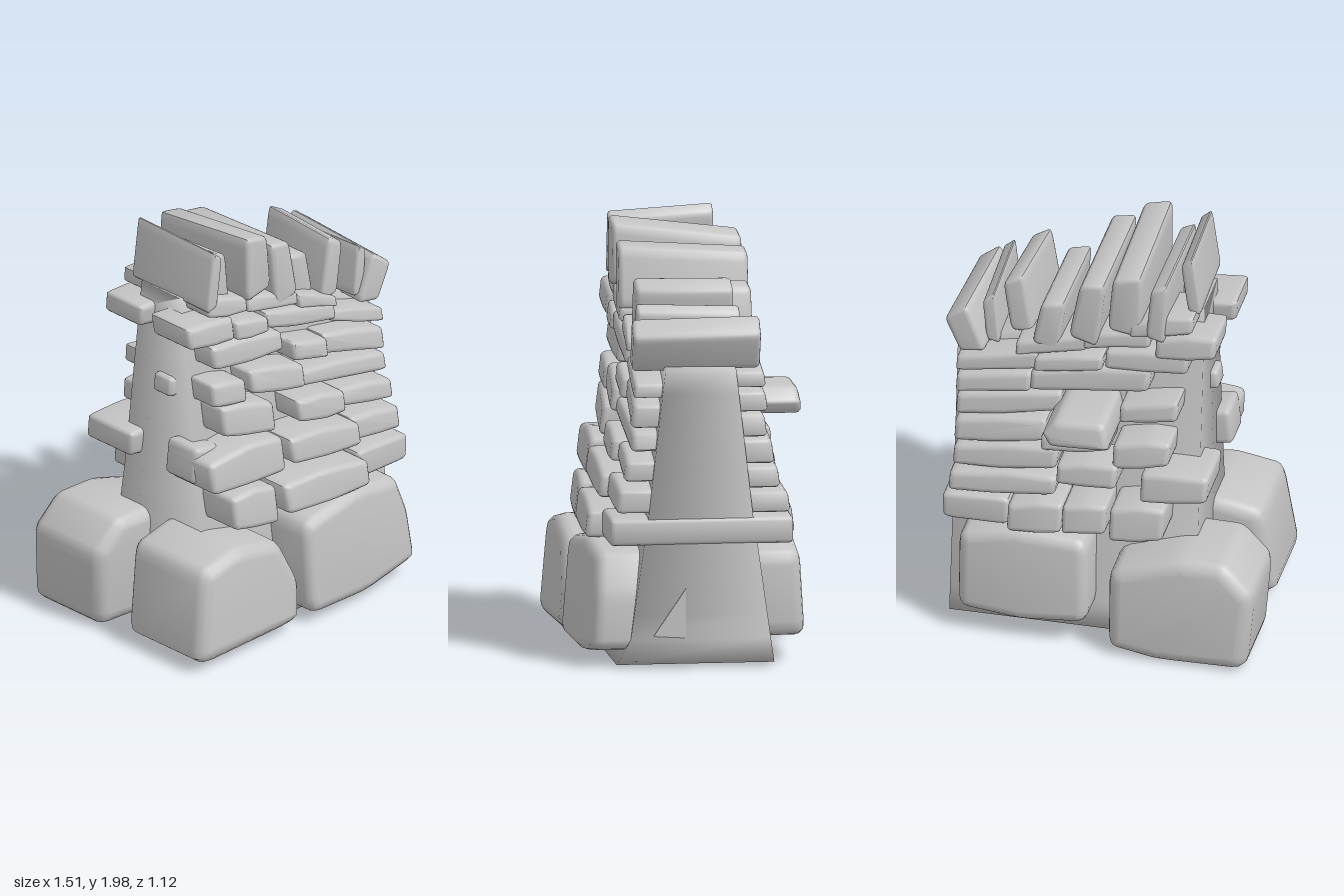
import * as THREE from 'three';
import { mergeVertices, toCreasedNormals } from 'three/addons/utils/BufferGeometryUtils.js';

// Half thickness of the mortar core at height y: flared foot, narrow top
const wall = (y) => (y < 0.6 ? 0.26 + (0.6 - y) * 0.14 : 0.255 - (y - 0.6) * 0.115);

// How far the face stones reach at height y; the right-hand end is a little thinner
const reach = (x, y) => Math.max(0.3, 0.47 - 0.26 * (y - 0.65) - (x > 0.35 ? 0.04 : 0));

// Small seeded generator for uneven outlines
let seed = 7;
const rnd = () => {
  seed = (seed * 16807) % 2147483647;
  return seed / 2147483647 - 0.5;
};

// Rounded stone: outline in x-y, running from z0 to z1.
// lean and skew tilt its ends by height and by x; rise and yaw tilt its length up and sideways
function stoneGeometry(points, z0, z1, bevel, { lean = 0, skew = 0, rise = 0, yaw = 0 } = {}) {
  const p = points.map(([x, y]) => new THREE.Vector2(x, y));
  const n = p.length;
  const shape = new THREE.Shape();
  p.forEach((c, i) => {
    const a = c.clone().lerp(p[(i + n - 1) % n], 0.17);
    const b = c.clone().lerp(p[(i + 1) % n], 0.17);
    if (i === 0) shape.moveTo(a.x, a.y);
    else shape.lineTo(a.x, a.y);
    shape.quadraticCurveTo(c.x, c.y, b.x, b.y);
  });
  shape.closePath();
  const g = new THREE.ExtrudeGeometry(shape, {
    depth: z1 - z0 - 2 * bevel, steps: 1, curveSegments: 3,
    bevelEnabled: true, bevelSize: bevel, bevelThickness: bevel, bevelOffset: -bevel, bevelSegments: 3,
  });
  g.translate(0, 0, z0 + bevel);
  const pos = g.attributes.position;
  const cx = p.reduce((s, v) => s + v.x, 0) / n;
  const cy = p.reduce((s, v) => s + v.y, 0) / n;
  for (let i = 0; i < pos.count; i++) {
    const x = pos.getX(i), y = pos.getY(i), z = pos.getZ(i);
    pos.setXYZ(i, x + yaw * z, y + rise * z, z + lean * (y - cy) + skew * (x - cx));
  }
  return toCreasedNormals(g, 0.75);
}

// Six-sided uneven outline for a wall stone
function slab([x0, x1, yl, yr, hl, hr]) {
  const w = x1 - x0;
  const j = () => rnd() * 0.025;
  const at = (t, s) => [x0 + w * t, yl + (yr - yl) * t + s * (hl + (hr - hl) * t) / 2 + j() * 0.5];
  return [at(0.02, -0.9), at(0.5 + j() * 8, -1.02), at(1, -0.97), at(0.99, 0.85), at(0.45 + j() * 8, 1.04), at(0, 0.88)];
}

// Each: left x, right x, left y, right y, left height, right height
const FRONT_UPPER = [
  [-0.41, -0.16, 1.68, 1.63, 0.1, 0.08], [-0.55, -0.26, 1.58, 1.55, 0.12, 0.12],
  [-0.25, -0.05, 1.52, 1.495, 0.1, 0.08], [-0.17, 0.15, 1.625, 1.565, 0.08, 0.07],
  [-0.06, 0.39, 1.51, 1.41, 0.09, 0.09], [0.16, 0.4, 1.535, 1.455, 0.08, 0.06],
  [-0.385, 0.06, 1.42, 1.37, 0.13, 0.11], [0.35, 0.69, 1.39, 1.29, 0.06, 0.08],
  [0.11, 0.33, 1.29, 1.25, 0.1, 0.1], [0.32, 0.69, 1.255, 1.17, 0.1, 0.11],
];
const FRONT_LOWER = [
  [-0.415, -0.2, 1.25, 1.22, 0.12, 0.12], [-0.17, 0.16, 1.24, 1.17, 0.13, 0.12],
  [0.1, 0.7, 1.15, 1.05, 0.09, 0.09], [-0.37, -0.05, 1.11, 1.04, 0.17, 0.16],
  [0.09, 0.39, 1.01, 0.965, 0.12, 0.11], [0.38, 0.71, 0.97, 0.92, 0.1, 0.1],
  [-0.51, -0.05, 0.88, 0.88, 0.17, 0.19], [-0.02, 0.43, 0.87, 0.81, 0.14, 0.12],
  [0.41, 0.72, 0.82, 0.78, 0.12, 0.12], [-0.405, -0.13, 0.685, 0.66, 0.18, 0.2],
  [-0.09, 0.43, 0.65, 0.635, 0.17, 0.15],
];
const BACK_UPPER = [
  [-0.42, -0.12, 1.68, 1.63, 0.09, 0.08], [-0.53, -0.24, 1.57, 1.54, 0.12, 0.12],
  [-0.22, 0.1, 1.58, 1.53, 0.09, 0.08], [0.08, 0.42, 1.52, 1.45, 0.08, 0.08],
  [-0.4, 0.0, 1.47, 1.44, 0.1, 0.09], [0.0, 0.33, 1.43, 1.39, 0.08, 0.08],
  [0.31, 0.7, 1.4, 1.33, 0.09, 0.08], [-0.22, 0.35, 1.36, 1.29, 0.13, 0.11],
  [0.34, 0.7, 1.28, 1.23, 0.1, 0.1], [-0.36, -0.08, 1.23, 1.19, 0.1, 0.1],
];
const BACK_LOWER = [
  [0.2, 0.7, 1.18, 1.12, 0.11, 0.11], [-0.05, 0.28, 1.04, 1.01, 0.09, 0.09],
  [0.26, 0.7, 1.05, 1.0, 0.12, 0.12], [-0.33, -0.06, 1.02, 0.99, 0.13, 0.13],
  [0.2, 0.7, 0.92, 0.88, 0.12, 0.12], [-0.09, 0.2, 0.89, 0.87, 0.12, 0.11],
  [-0.52, -0.2, 0.88, 0.86, 0.14, 0.15], [0.2, 0.71, 0.79, 0.77, 0.11, 0.11],
  [0.16, 0.42, 0.66, 0.64, 0.15, 0.14], [-0.05, 0.16, 0.68, 0.66, 0.15, 0.15],
  [-0.32, -0.06, 0.68, 0.66, 0.18, 0.18],
];
// Each: foot x, foot y, top x, top y, width, back z, front z, rise, yaw
const COPING = [
  [-0.4, 1.68, -0.365, 1.98, 0.065, -0.2, 0.29, -0.05, 0.04],
  [-0.255, 1.6, -0.275, 1.91, 0.09, -0.3, 0.23, 0.08, -0.04],
  [-0.1, 1.62, -0.12, 1.95, 0.16, -0.29, 0.31, 0.12, -0.02],
  [0.09, 1.54, 0.04, 1.88, 0.14, -0.3, 0.3, 0.06, -0.03],
  [0.27, 1.47, 0.23, 1.74, 0.13, -0.29, 0.22, 0.03, -0.03],
  [0.4, 1.46, 0.44, 1.77, 0.11, -0.18, 0.27, 0, -0.08],
  [0.55, 1.41, 0.57, 1.67, 0.065, -0.2, 0.28, 0.04, 0.02],
  [0.61, 1.38, 0.69, 1.61, 0.13, -0.28, 0.31, -0.02, -0.05],
];

export function createModel() {
  const model = new THREE.Group();
  model.name = 'ruinedStoneWall';
  const stone = new THREE.MeshStandardMaterial({ color: 0xc4c4c4 });
  stone.name = 'grey stone';
  const add = (name, geometry, parent = model) => {
    const mesh = new THREE.Mesh(geometry, stone);
    mesh.name = name;
    parent.add(mesh);
  };
  const group = (name) => {
    const g = new THREE.Group();
    g.name = name;
    model.add(g);
    return g;
  };

  // Mortar core with battered faces and a sloping top, shaded softly round its corners
  const box = new THREE.BoxGeometry(1, 1, 2, 1, 12, 1);
  box.deleteAttribute('normal');
  box.deleteAttribute('uv');
  const core = mergeVertices(box);
  const pos = core.attributes.position;
  for (let i = 0; i < pos.count; i++) {
    const x = 0.14 + pos.getX(i) * 1.16;
    const top = 1.7 - (x + 0.44) * 0.27;
    const y = 0.02 + (pos.getY(i) + 0.5) * (top - 0.02);
    const foot = y < 0.03 && pos.getZ(i) > 0 ? 0.05 : 0;
    pos.setXYZ(i, x, y, pos.getZ(i) * wall(y) + foot);
  }
  core.computeVertexNormals();
  add('mortarCore', core);

  // Courses of flat stones on both faces
  const course = (name, list, side) => {
    const g = group(name);
    for (const s of list) {
      const x = (s[0] + s[1]) / 2, y = (s[2] + s[3]) / 2;
      const z = [side * (wall(y) - 0.1), side * (reach(x, y) + rnd() * 0.03)].sort((a, b) => a - b);
      const bevel = Math.min(0.025, Math.min(s[4], s[5]) * 0.25);
      add('wallStone', stoneGeometry(slab(s), z[0], z[1], bevel, { lean: -0.13 * side, skew: rnd() * 0.08 }), g);
    }
  };
  course('frontCourses', [...FRONT_UPPER, ...FRONT_LOWER], 1);
  course('backCourses', [...BACK_UPPER, ...BACK_LOWER], -1);

  // Upright stones along the top
  const coping = group('copingStones');
  for (const [bx, by, tx, ty, w, z0, z1, rise, yaw] of COPING) {
    const d = new THREE.Vector2(tx - bx, ty - by).normalize().multiplyScalar(w / 2);
    const q = [
      [bx - d.y, by + d.x], [bx + d.y, by - d.x + 0.02],
      [tx + d.y * 0.95, ty - d.x - 0.04], [tx - d.y * 0.8, ty + d.x],
    ];
    add('copingStone', stoneGeometry(q, z0, z1, Math.min(0.022, w * 0.22), { rise, yaw, skew: rnd() * 0.12 }), coping);
  }

  // Large foundation boulders
  const base = group('foundationStones');
  add('frontLeftBoulder', stoneGeometry([[-0.74, 0.04], [-0.06, 0.05], [-0.05, 0.25], [-0.17, 0.49],
    [-0.43, 0.55], [-0.67, 0.5]], 0.04, 0.54, 0.06, { lean: -0.06, skew: -0.03 }), base);
  add('frontRightBoulder', stoneGeometry([[-0.01, 0.06], [0.38, 0.04], [0.72, 0.09], [0.69, 0.34],
    [0.62, 0.53], [0.35, 0.57], [-0.01, 0.52]], 0.15, 0.51, 0.05, { lean: -0.08, skew: -0.08 }), base);
  add('backLeftBoulder', stoneGeometry([[-0.73, 0.01], [-0.3, 0.0], [-0.07, 0.04], [-0.07, 0.44],
    [-0.4, 0.54], [-0.62, 0.54], [-0.76, 0.4]], -0.54, -0.08, 0.06, { lean: 0.05, skew: 0.02 }), base);
  add('backRightBoulder', stoneGeometry([[0.03, 0.13], [0.35, 0.1], [0.65, 0.13], [0.65, 0.52],
    [0.4, 0.57], [0.04, 0.55]], -0.49, -0.15, 0.05, { lean: 0.06, skew: 0.02 }), base);

  // Long tie stone through the right-hand end
  add('tieStone', stoneGeometry([[0.42, 0.57], [0.73, 0.57], [0.735, 0.7], [0.42, 0.71]], -0.43, 0.42, 0.02));

  // Stone standing proud of the back face
  add('projectingStone', stoneGeometry([[-0.08, 1.1], [0.2, 1.09], [0.24, 1.15], [0.18, 1.22],
    [-0.05, 1.23]], -0.53, -0.12, 0.03, { lean: 0.15 }));

  // Stones poking out of the broken end
  add('endStone', stoneGeometry([[-0.52, 0.82], [-0.34, 0.8], [-0.34, 0.97], [-0.5, 1.0]], 0.1, 0.3, 0.025));
  add('endStone', stoneGeometry([[-0.48, 1.19], [-0.36, 1.17], [-0.36, 1.27], [-0.47, 1.28]], -0.02, 0.1, 0.02));

  // Exposed chip on the right-hand end
  const chip = new THREE.ExtrudeGeometry(
    new THREE.Shape([[-0.07, 0.37], [-0.22, 0.15], [-0.07, 0.14]].map(([a, b]) => new THREE.Vector2(a, b))),
    { depth: 0.008, bevelEnabled: false });
  chip.rotateY(Math.PI / 2);
  chip.translate(0.718, 0, 0);
  add('endChip', chip);

  return model;
}
